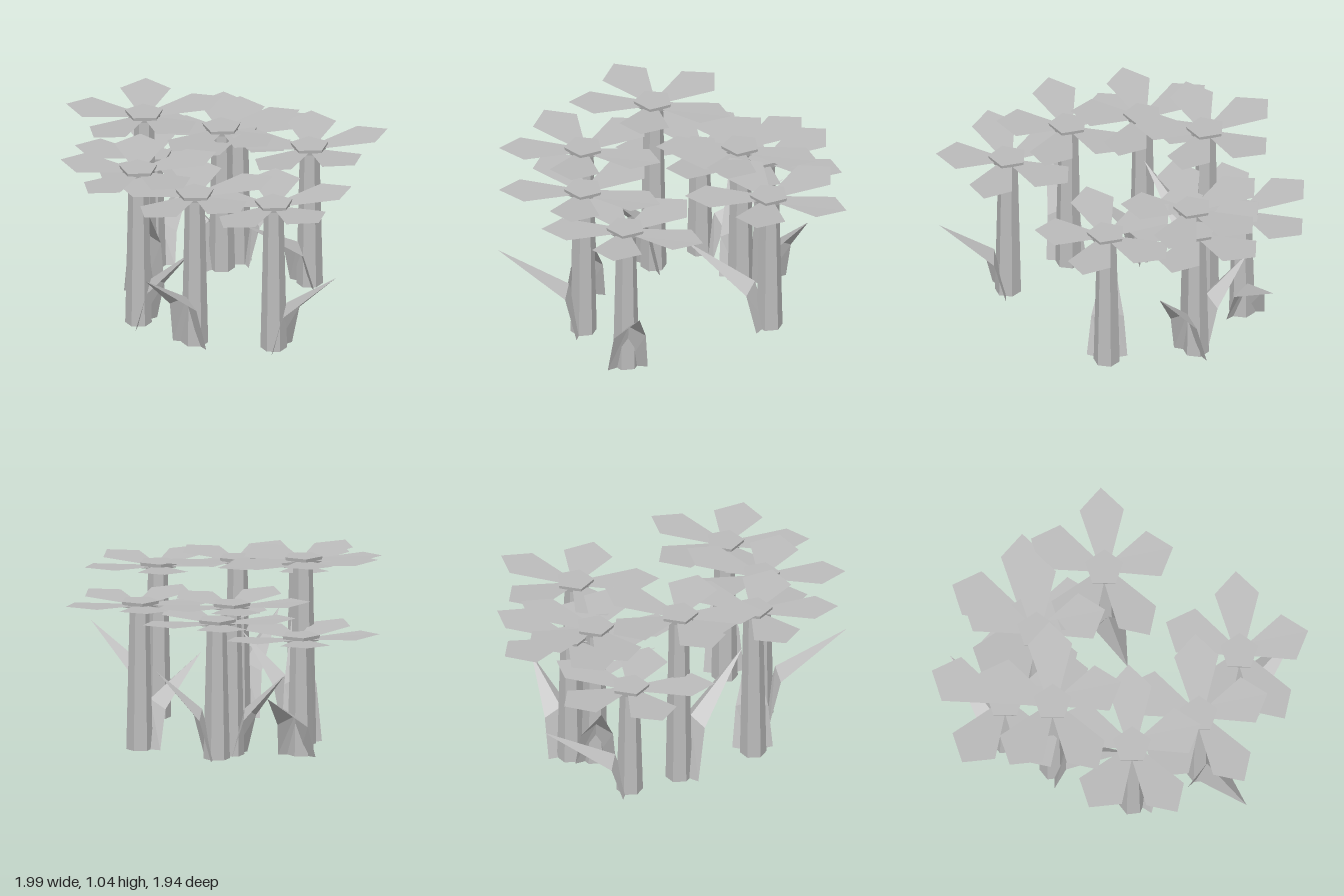
import * as THREE from 'three';

const grey = new THREE.MeshStandardMaterial({ color: 0xbbbbbb, side: THREE.DoubleSide, flatShading: true });
grey.name = 'plain grey';

// Each flower: x, z, height, then leaf tip x, y, z
const FLOWERS = [
  [0.60, 0.16, 0.86, 0.97, 0.50, 0.02],
  [0.05, -0.53, 0.82, 0.04, 0.47, -0.07],
  [-0.41, -0.29, 0.84, -0.70, 0.46, -0.17],
  [-0.47, 0.20, 1.035, -0.13, 0.65, 0.46],
  [-0.12, 0.52, 0.915, 0.20, 0.49, 0.41],
  [0.28, 0.45, 0.89, 0.41, 0.53, 0.90],
  [-0.67, -0.02, 0.66, -0.85, 0.39, -0.45],
  [-0.43, -0.42, 0.77, -0.24, 0.49, -0.69],
];

// Petals: angle in degrees, shoulder distance, tip distance, half width
const PETALS = [
  [0, 0.28, 0.39, 0.137],
  [75, 0.335, 0.46, 0.12],
  [-75, 0.335, 0.46, 0.12],
  [140, 0.315, 0.43, 0.137],
  [-140, 0.315, 0.43, 0.137],
];

function surface(points, faces) {
  const g = new THREE.BufferGeometry();
  g.setAttribute('position', new THREE.Float32BufferAttribute(points.flat(), 3));
  g.setIndex(faces);
  const flat = g.toNonIndexed();
  flat.computeVertexNormals();
  return flat;
}

function part(name, geometry) {
  const mesh = new THREE.Mesh(geometry, grey);
  mesh.name = name;
  return mesh;
}

// Kite-like petal pointing along +x, rising a little to the tip
function petalGeometry(shoulder, tip, half) {
  return surface([
    [0.07, -0.02, 0.042], [0.07, -0.02, -0.042],
    [shoulder, 0, -half], [tip, 0.009, 0], [shoulder, 0, half],
  ], [0, 4, 3, 0, 3, 1, 1, 3, 2]);
}

// Creased leaf pointing along +x: two feet astride the stem, a bend and a tip
function leafGeometry(reach, height) {
  const bend = height * 0.5;
  return surface([
    [0.05, 0, 0.11], [0.01, 0, 0], [0.05, 0, -0.11],
    [0.11, bend - 0.02, 0.088], [0.08, bend + 0.03, 0], [0.11, bend - 0.02, -0.088],
    [reach, height, 0],
  ], [0, 3, 4, 0, 4, 1, 1, 4, 5, 1, 5, 2, 3, 6, 4, 4, 6, 5]);
}

export function createModel() {
  const model = new THREE.Group();
  model.name = 'flowerPatch';

  for (const [x, z, height, tipX, tipY, tipZ] of FLOWERS) {
    const flower = new THREE.Group();
    flower.name = 'flower';
    flower.position.set(x, 0, z);

    // Tapered six-sided stem
    const stemHeight = height - 0.02;
    const stem = part('stem', new THREE.CylinderGeometry(0.053, 0.072, stemHeight, 6));
    stem.position.y = stemHeight / 2;
    stem.rotation.y = THREE.MathUtils.degToRad(20);
    flower.add(stem);

    // Five-sided flower centre with one corner towards +x
    const centre = part('flowerCentre', new THREE.CylinderGeometry(0.108, 0.1, 0.032, 5));
    centre.position.y = height - 0.016;
    centre.rotation.y = -Math.PI / 2 + Math.PI;
    centre.rotation.y = Math.PI / 2;
    flower.add(centre);

    for (const [angle, shoulder, tip, half] of PETALS) {
      const petal = part('petal', petalGeometry(shoulder, tip, half));
      petal.position.y = height;
      petal.rotation.y = THREE.MathUtils.degToRad(angle);
      flower.add(petal);
    }

    // Leaf turned towards its tip
    const dx = tipX - x, dz = tipZ - z;
    const leaf = part('leaf', leafGeometry(Math.hypot(dx, dz), tipY));
    leaf.rotation.y = Math.atan2(-dz, dx);
    flower.add(leaf);

    model.add(flower);
  }
  return model;
}
